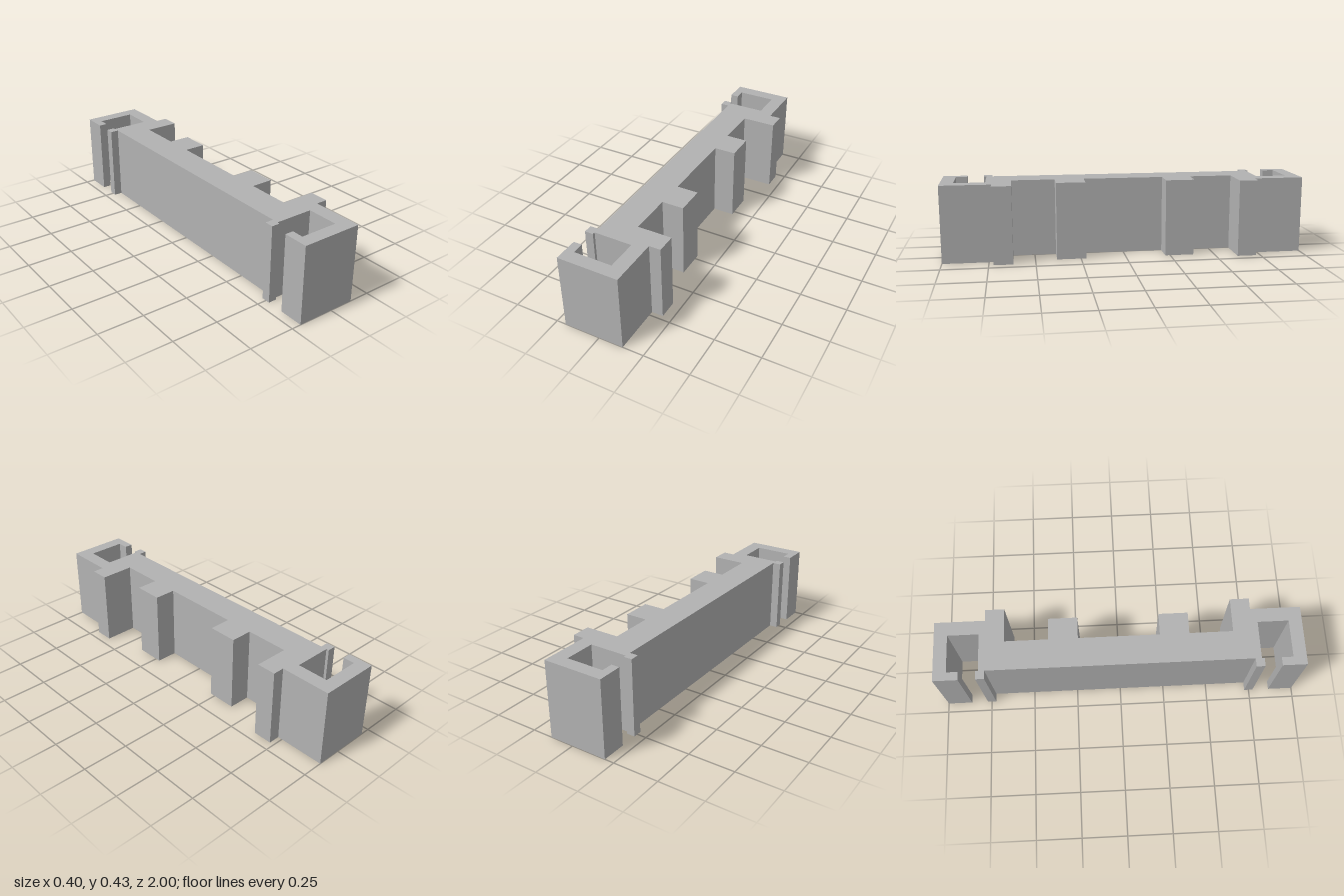
import * as THREE from 'three';

const HEIGHT = 0.425;

// Half of the rail's cross-section as [x, z], from the middle to one end and back
const half = [
  [0.01, 0.222], [0.13, 0.222], [0.13, 0.382], [0.01, 0.382],         // inner rib
  [0.01, 0.62], [0.198, 0.62], [0.198, 0.725], [0.135, 0.725],        // outer rib
  [0.135, 1], [-0.198, 1], [-0.198, 0.865], [-0.152, 0.865],          // end hook
  [-0.152, 0.928], [0.057, 0.928], [0.057, 0.758], [-0.152, 0.758],   // slot
  [-0.152, 0.773], [-0.198, 0.773], [-0.198, 0.725], [-0.152, 0.725], // small lip
];

export function createModel() {
  const gray = new THREE.MeshStandardMaterial({ color: 0xb2b2b2 });
  gray.name = 'light gray';

  // Full outline: the half plus its mirror image
  const mirrored = half.map(([x, z]) => [x, -z]).reverse();
  const outline = [...half, ...mirrored].map(([x, z]) => new THREE.Vector2(x, -z));

  // Extrude upwards
  const geometry = new THREE.ExtrudeGeometry(new THREE.Shape(outline), {
    depth: HEIGHT, bevelEnabled: false,
  });
  geometry.rotateX(-Math.PI / 2);

  const rail = new THREE.Mesh(geometry, gray);
  rail.name = 'profileRail';

  const model = new THREE.Group();
  model.name = 'extrudedProfile';
  model.add(rail);
  return model;
}
